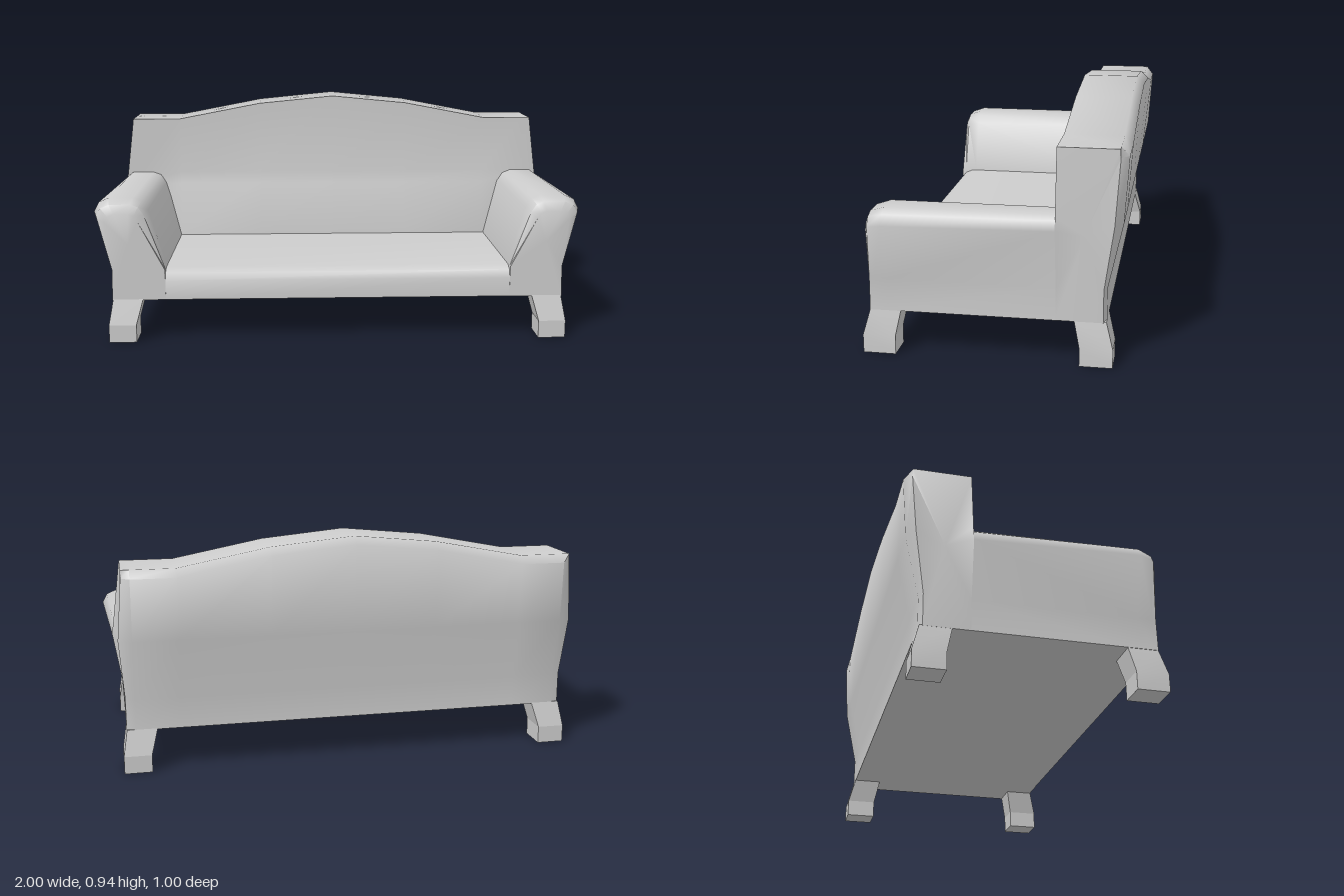
import * as THREE from 'three';
import { toCreasedNormals } from 'three/addons/utils/BufferGeometryUtils.js';

const material = new THREE.MeshStandardMaterial({ color: 0xcccccc });

// Skin a list of equal-length closed rings of [x, y, z] and cap both ends.
function loft(name, rings, crease = 0.9) {
  const n = rings[0].length;
  const tris = [];
  const centre = (ring) => [0, 1, 2].map((k) => ring.reduce((s, p) => s + p[k], 0) / n);
  for (let j = 0; j < n; j++) {
    const k = (j + 1) % n;
    for (let i = 0; i + 1 < rings.length; i++) {
      const a = rings[i], b = rings[i + 1];
      tris.push([a[j], a[k], b[k]], [a[j], b[k], b[j]]);
    }
    const first = rings[0], last = rings[rings.length - 1];
    tris.push([first[k], first[j], centre(first)], [last[j], last[k], centre(last)]);
  }
  // Turn every face outward, whichever way the rings run
  let volume = 0;
  const v = [0, 1, 2].map(() => new THREE.Vector3());
  for (const t of tris) {
    t.forEach((p, i) => v[i].fromArray(p));
    volume += v[0].dot(v[1].cross(v[2]));
  }
  if (volume < 0) tris.forEach((t) => t.reverse());
  const geo = new THREE.BufferGeometry();
  geo.setAttribute('position', new THREE.Float32BufferAttribute(tris.flat(2), 3));
  const mesh = new THREE.Mesh(toCreasedNormals(geo, crease), material);
  mesh.name = name;
  return mesh;
}

// Seat: one profile with a rounded front edge
function seat() {
  const profile = [[-0.2, 0.172], [0.47, 0.172], [0.47, 0.25], [0.455, 0.282], [0.42, 0.297], [-0.2, 0.297]];
  return loft('seat', [-0.71, 0.71].map((x) => profile.map(([z, y]) => [x, y, z])));
}

// Arm: flared profile, rounded off at the front and narrowing toward the back
function arm(side) {
  const profile = [
    [0.928, 0.172], [0.925, 0.3], [1, 0.53], [0.98, 0.568], [0.94, 0.585],
    [0.84, 0.585], [0.805, 0.572], [0.78, 0.535], [0.71, 0.297], [0.71, 0.172],
  ];
  const stations = [ // z, front rounding, narrowing
    [0.472, 0.4, 0], [0.455, 0.13, 0], [0.4, 0, 0], [-0.24, 0, 0.035],
  ];
  const rings = stations.map(([z, round, narrow]) => profile.map(([x, y]) => {
    const r = y > 0.4 ? round : 0;
    const px = x + (0.87 - x) * r - narrow * Math.max(0, (x - 0.925) / 0.075);
    return [side * px, y + (0.45 - y) * r, z];
  }));
  return loft(side > 0 ? 'leftArm' : 'rightArm', rings);
}

// Back: upright cross-sections strung along x under an arched top
function back() {
  const stations = [ // x, top height, end amount (1 = outer end)
    [0, 0.938, 0], [0.34, 0.905, 0], [0.71, 0.834, 0], [0.89, 0.834, 0], [0.925, 0.834, 1],
  ];
  const endX = (y) => (y < 0.31 ? 0.926 : y < 0.54 ? 0.965 : y < 0.6 ? 0.957 : 0.925);
  const section = (x, top, end, side) => {
    const foot = x > 0.8 ? -0.24 : -0.177; // tucks behind the arms
    const mid = x > 0.8 ? -0.24 : -0.227;
    const rows = [ // y, z, rear flag
      [0.172, foot, 0], [0.297, foot, 0], [0.53, mid, 0], [0.585, -0.24, 0], [top, -0.24, 0],
      [top, -0.468, 0], [top - 0.032, -0.5, 1], [0.55, -0.484, 1], [0.3, -0.43, 1], [0.172, -0.43, 1],
    ];
    return rows.map(([y, z, rear]) => {
      const px = end ? endX(y) - (rear && y > 0.5 && y < 0.6 ? 0.012 : 0) : x;
      const pz = end && rear ? z + (y > 0.5 ? 0.03 : 0.012) : z;
      return [side * px, y, pz];
    });
  };
  const half = (side) => stations.map(([x, top, end]) => section(x, top, end, side));
  return loft('back', [...half(-1).reverse(), ...half(1).slice(1)]);
}

// Leg: straight foot, then a slanted neck up into the frame
function leg(side, front) {
  const foot = front ? [0.373, 0.5] : [-0.457, -0.331];
  const neck = front ? [0.352, 0.472] : [-0.43, -0.309];
  const rings = [[0, 0.83, 0.942, foot], [0.072, 0.83, 0.942, foot], [0.175, 0.803, 0.925, neck]]
    .map(([y, x0, x1, [z0, z1]]) => [[x0, z0], [x1, z0], [x1, z1], [x0, z1]]
      .map(([x, z]) => [side * x, y, z]));
  return loft((front ? 'front' : 'back') + (side > 0 ? 'LeftLeg' : 'RightLeg'), rings, 0.2);
}

export function createModel() {
  const sofa = new THREE.Group();
  sofa.name = 'sofa';
  sofa.add(seat(), back());
  for (const side of [-1, 1]) {
    sofa.add(arm(side), leg(side, true), leg(side, false));
  }
  return sofa;
}
